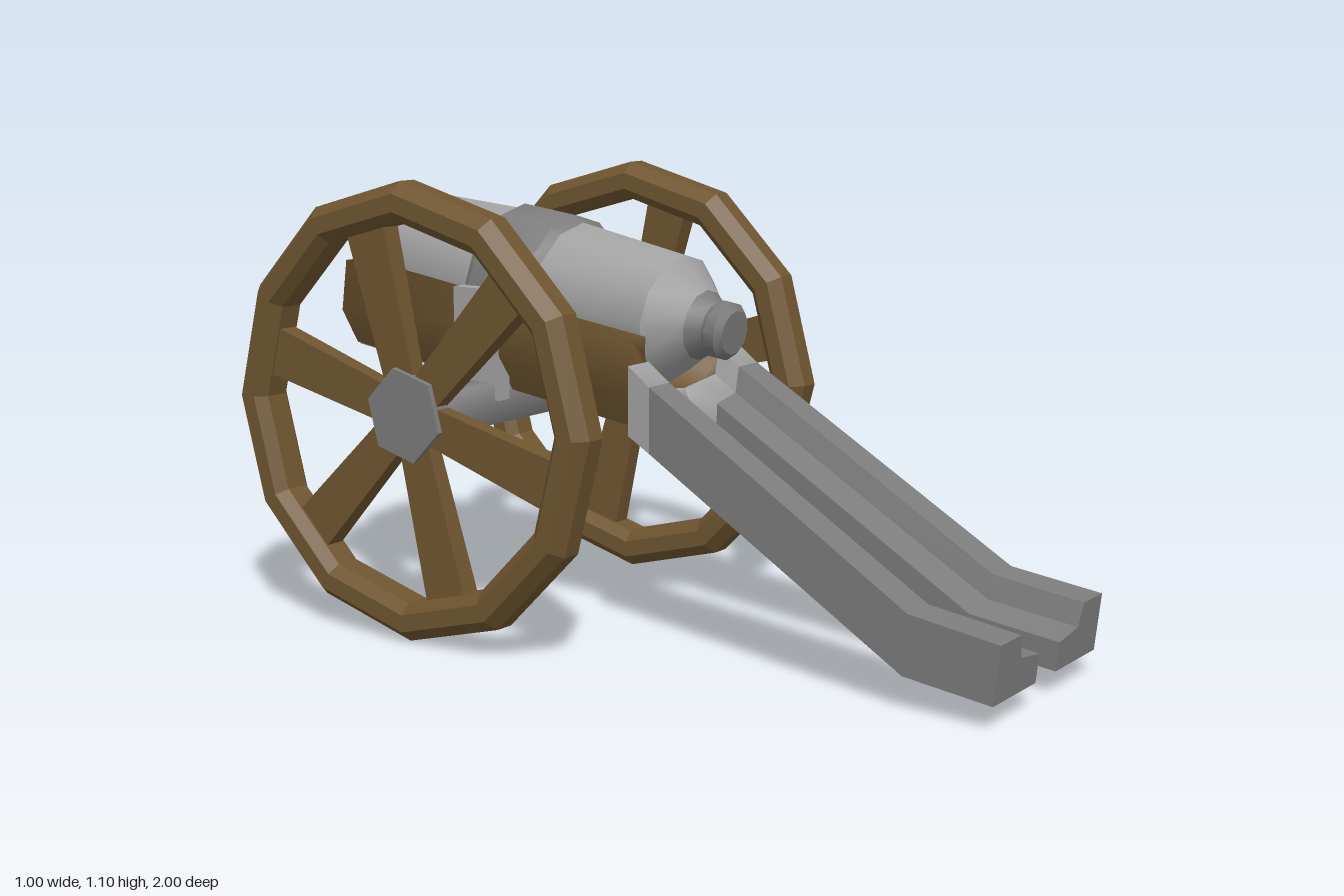
import * as THREE from 'three';
import { toCreasedNormals } from 'three/addons/utils/BufferGeometryUtils.js';

const V = (x, y) => new THREE.Vector2(x, y);
const TILT = 0.14;
const SOFT = 1.65; // crease angle that blends even square corners

export function createModel() {
  const model = new THREE.Group();
  const paleIron = new THREE.MeshStandardMaterial({ color: 0xa2a2a2 });
  const darkIron = new THREE.MeshStandardMaterial({ color: 0x7c7c7c });
  const wood = new THREE.MeshStandardMaterial({ color: 0x6f5530 });
  const flatWood = new THREE.MeshStandardMaterial({ color: 0x6f5530, flatShading: true });

  const add = (parent, name, geometry, material, x = 0, y = 0, z = 0) => {
    const mesh = new THREE.Mesh(geometry, material);
    mesh.name = name;
    mesh.position.set(x, y, z);
    parent.add(mesh);
    return mesh;
  };

  // Gun frame: origin at the knob, muzzle towards -z and raised
  const gun = new THREE.Group();
  gun.name = 'gun';
  gun.position.set(0, 0.743, 0.165);
  gun.rotation.x = TILT;
  model.add(gun);

  // Barrel parts: twelve-sided turned profiles of [radius, distance from the knob]
  const barrel = new THREE.Group();
  barrel.name = 'barrel';
  barrel.rotation.x = -0.012;
  gun.add(barrel);
  const turn = (name, profile, material) => {
    const lathe = new THREE.LatheGeometry(profile.map(([r, t]) => V(r, t)), 12).rotateX(-Math.PI / 2);
    add(barrel, name, toCreasedNormals(lathe, 0.6), material);
  };
  turn('knob', [[0, 0], [0.053, 0], [0.07, 0.015], [0.07, 0.042], [0.062, 0.055], [0.085, 0.09]], darkIron);
  turn('tube', [
    [0.085, 0.09], [0.155, 0.165], [0.176, 0.475], [0.176, 0.69], [0.165, 0.99],
    [0.146, 1.06], [0.128, 1.06], [0.122, 0.72], [0, 0.72],
  ], paleIron);
  turn('band', [[0.174, 0.472], [0.19, 0.498], [0.19, 0.665], [0.174, 0.69]], darkIron);

  // Cradle: a trough with chamfered lower edges
  const trough = new THREE.Shape();
  trough.moveTo(0.168, -0.02);
  trough.absarc(0, -0.02, 0.168, 0, Math.PI, true);
  [[-0.225, -0.02], [-0.225, -0.15], [-0.16, -0.242], [0.16, -0.242], [0.225, -0.15], [0.225, -0.02]]
    .forEach(([x, y]) => trough.lineTo(x, y));
  const cradle = new THREE.ExtrudeGeometry(trough, { depth: 0.91, bevelEnabled: false, curveSegments: 6 });
  add(gun, 'cradle', toCreasedNormals(cradle, SOFT), wood, 0, 0, -1.045);
  add(gun, 'cradlePlate', new THREE.BoxGeometry(0.31, 0.012, 0.38), darkIron, 0, -0.24, -0.85);

  // Axle with the brackets that hold the cradle
  const axle = new THREE.BoxGeometry(0.84, 0.1, 0.145);
  add(model, 'axle', toCreasedNormals(axle, SOFT), darkIron, 0, 0.55, -0.455);
  for (const s of [-1, 1]) {
    add(model, 'bracket', new THREE.BoxGeometry(0.04, 0.27, 0.14), paleIron, s * 0.207, 0.693, -0.44);
  }

  // Wheels: bevelled twelve-sided rim, six flaring spokes, six-sided hub
  const rim = new THREE.LatheGeometry([
    [0.55, -0.024], [0.55, 0.024], [0.522, 0.055], [0.48, 0.055], [0.455, 0.03],
    [0.455, -0.03], [0.48, -0.055], [0.522, -0.055], [0.55, -0.024],
  ].map(([r, t]) => V(r, t)), 12).rotateZ(-Math.PI / 2);
  const spoke = new THREE.CylinderGeometry(0.086, 0.064, 0.42, 4)
    .rotateY(Math.PI / 4).scale(0.42, 1, 1).translate(0, 0.26, 0);
  const hub = toCreasedNormals(new THREE.CylinderGeometry(0.115, 0.115, 0.05, 6).rotateZ(-Math.PI / 2), 0.5);
  for (const s of [-1, 1]) {
    const wheel = new THREE.Group();
    wheel.name = s > 0 ? 'leftWheel' : 'rightWheel';
    wheel.position.set(s * 0.444, 0.55, -0.453);
    wheel.rotation.y = s > 0 ? Math.PI : 0;
    add(wheel, 'rim', rim, flatWood);
    for (let i = 0; i < 6; i++) {
      add(wheel, 'spoke', spoke, flatWood).rotation.x = -Math.PI / 12 + i * Math.PI / 3;
    }
    add(wheel, 'hub', hub, darkIron, -0.008).rotation.x = Math.PI / 12;
    model.add(wheel);
  }

  // Trail legs: a stepped section swept through stations
  const section = new THREE.Shape([
    V(0.05, 0), V(0.225, 0), V(0.225, 1), V(0.145, 1), V(0.13, 0.6), V(0.05, 0.5),
  ]);
  const sweep = (stations) => {
    const steps = stations.length - 1;
    const geometry = new THREE.ExtrudeGeometry(section, { depth: steps, steps, bevelEnabled: false });
    const p = geometry.attributes.position;
    for (let i = 0; i < p.count; i++) {
      const st = stations[Math.round(p.getZ(i))];
      const u = p.getX(i), v = p.getY(i);
      const x = u < 0.06 ? st.inner : u + st.grow * (u > 0.2 ? 1 : 0.4);
      p.setXYZ(i, x,
        THREE.MathUtils.lerp(st.bottom[0], st.top[0], v),
        THREE.MathUtils.lerp(st.bottom[1], st.top[1], v));
    }
    return toCreasedNormals(geometry, 1.1);
  };
  const joint = { inner: 0.05, grow: 0, top: [0.636, 0.08], bottom: [0.48, 0.08] };
  const legHead = sweep([
    { inner: 0, grow: 0, top: [0.68, 0.02], bottom: [0.515, 0.02] },
    joint,
  ]);
  const leg = sweep([
    joint,
    { inner: 0.05, grow: 0.02, top: [0.22, 0.775], bottom: [0.08, 0.765] },
    { inner: 0.05, grow: 0.025, top: [0.19, 1.0], bottom: [0.055, 0.985] },
  ]);
  for (const s of [-1, 1]) {
    const trail = new THREE.Group();
    trail.name = s > 0 ? 'leftTrail' : 'rightTrail';
    trail.scale.x = s;
    add(trail, 'legHead', legHead, paleIron);
    add(trail, 'leg', leg, darkIron);
    model.add(trail);
  }

  return model;
}
